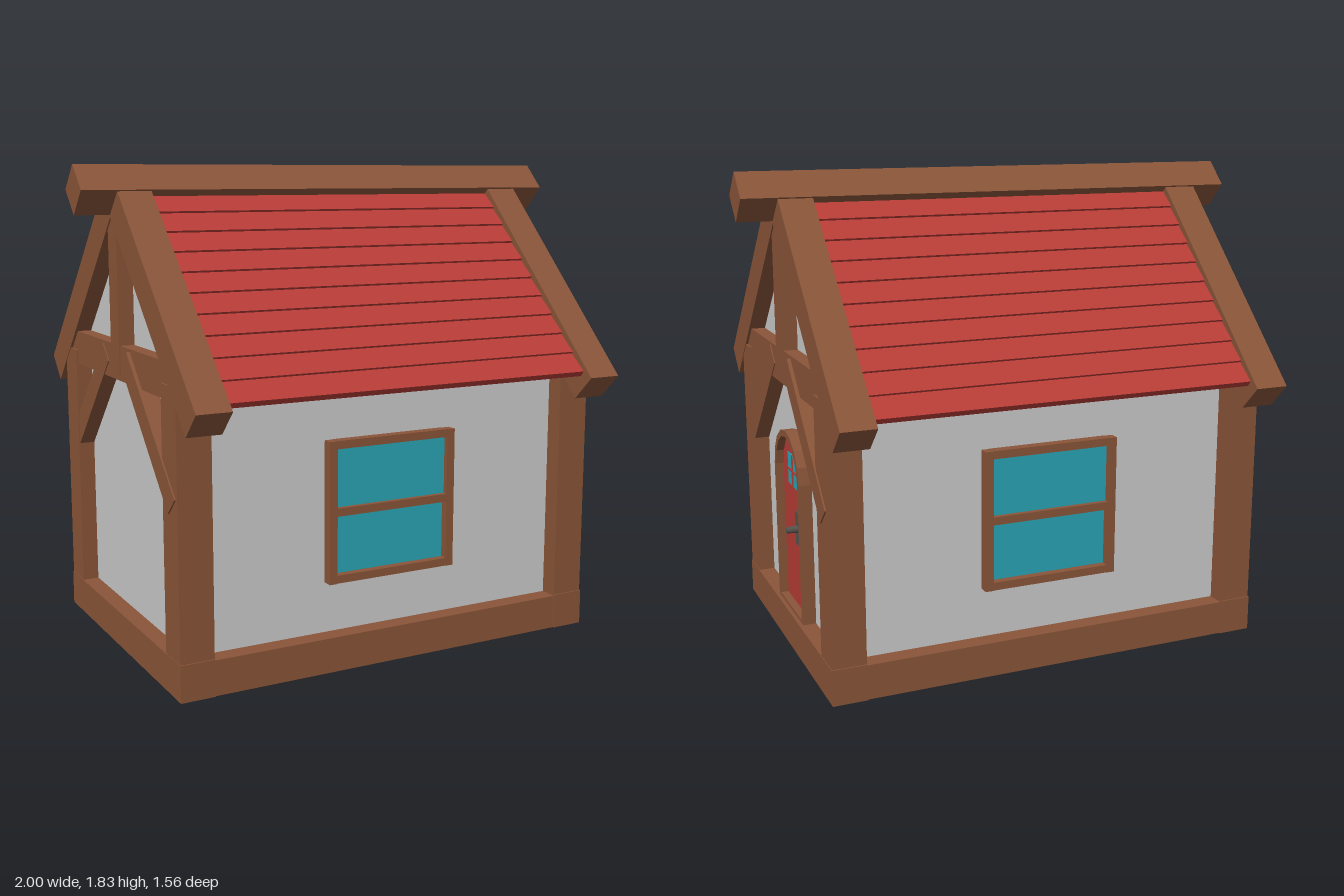
import * as THREE from 'three';

const mat = (color) => new THREE.MeshStandardMaterial({ color });
const WOOD = mat(0x8a5539), RED = mat(0xb83c36), WALL = mat(0xcccccc), GLASS = mat(0x2aa5b5), IRON = mat(0x55534c);

function add(parent, name, geometry, material, x = 0, y = 0, z = 0, rx = 0) {
  const m = new THREE.Mesh(geometry, material);
  m.name = name;
  m.position.set(x, y, z);
  m.rotation.x = rx;
  parent.add(m);
  return m;
}

// Box given by its minimum and maximum on each axis
function box(parent, name, material, [x0, x1], [y0, y1], [z0, z1]) {
  return add(parent, name, new THREE.BoxGeometry(x1 - x0, y1 - y0, z1 - z0), material,
    (x0 + x1) / 2, (y0 + y1) / 2, (z0 + z1) / 2);
}

// Square timber between two (z, y) points in a plane of constant x
function timber(parent, name, x, width, depth, [z0, y0], [z1, y1]) {
  const dz = z1 - z0, dy = y1 - y0;
  return add(parent, name, new THREE.BoxGeometry(depth, width, Math.hypot(dz, dy)), WOOD,
    x, (y0 + y1) / 2, (z0 + z1) / 2, -Math.atan2(dy, dz));
}

const extrude = (shape, depth) =>
  new THREE.ExtrudeGeometry(shape, { depth, bevelEnabled: false, curveSegments: 5 });

// Round-headed outline with its foot at y0
function archPoints(half, y0, spring, rise) {
  const pts = [new THREE.Vector2(-half, y0), new THREE.Vector2(half, y0)];
  for (let i = 0; i <= 8; i++) {
    const a = (i / 8) * Math.PI;
    pts.push(new THREE.Vector2(half * Math.cos(a), spring + rise * Math.sin(a)));
  }
  return pts;
}

// Timber framing of one end of the house, on the +x side
function buildGable() {
  const g = new THREE.Group();
  g.name = 'gableFrame';
  box(g, 'sideSill', WOOD, [0.735, 0.865], [0.004, 0.14], [-0.605, 0.605]);
  box(g, 'tieBeam', WOOD, [0.74, 0.855], [1.045, 1.176], [-0.6, 0.6]);
  box(g, 'kingPost', WOOD, [0.765, 0.86], [1.065, 1.7], [-0.045, 0.045]);
  for (const s of [-1, 1]) {
    const z = [0.467, 0.6].map((v) => v * s).sort((a, b) => a - b);
    box(g, 'cornerPost', WOOD, [0.735, 0.863], [0.14, 1.1], z);
    timber(g, 'rafter', 0.8, 0.128, 0.13, [s * 0.735, 0.995], [0, 1.73]);
    timber(g, 'brace', s < 0 ? 0.825 : 0.815, 0.087, 0.087, [s * 0.115, 1.135], [s * 0.557, 0.688]);
  }
  return g;
}

// Sash window facing +z
function buildWindow() {
  const g = new THREE.Group();
  g.name = 'window';
  const z = [0.5, 0.57];
  for (const s of [-1, 1]) box(g, 'windowJamb', WOOD, [s * 0.25 - 0.016, s * 0.25 + 0.016], [0.325, 0.855], z);
  for (const y of [0.341, 0.592, 0.841]) box(g, 'windowRail', WOOD, [-0.235, 0.235], [y - 0.015, y + 0.015], z);
  box(g, 'lowerPane', GLASS, [-0.235, 0.235], [0.355, 0.578], [0.5, 0.54]);
  box(g, 'upperPane', GLASS, [-0.235, 0.235], [0.606, 0.827], [0.5, 0.55]);
  return g;
}

// Round-headed door, built facing +z and turned to +x
function buildDoor() {
  const g = new THREE.Group();
  g.name = 'door';
  const frame = new THREE.Shape(archPoints(0.178, 0.14, 0.69, 0.17));
  frame.holes.push(new THREE.Path(archPoints(0.155, 0.152, 0.69, 0.145)));
  add(g, 'doorFrame', extrude(frame, 0.07), WOOD, 0, 0, 0.78);
  add(g, 'doorLeaf', extrude(new THREE.Shape(archPoints(0.157, 0.15, 0.69, 0.147)), 0.04), RED, 0, 0, 0.78);
  // Four small panes between thin bars
  for (const x of [-0.038, 0.038]) for (const y of [0.663, 0.729])
    box(g, 'doorPane', GLASS, [x - 0.033, x + 0.033], [y - 0.029, y + 0.029], [0.8, 0.824]);
  box(g, 'paneBar', RED, [-0.005, 0.005], [0.63, 0.76], [0.8, 0.828]);
  box(g, 'paneBar', RED, [-0.072, 0.072], [0.692, 0.7], [0.8, 0.828]);
  // Handle plate with pull
  box(g, 'handlePlate', IRON, [0.033, 0.09], [0.42, 0.55], [0.8, 0.83]);
  add(g, 'doorKnob', new THREE.CylinderGeometry(0.012, 0.016, 0.045, 8), IRON, 0.062, 0.485, 0.85, Math.PI / 2);
  g.rotation.y = Math.PI / 2;
  return g;
}

// Lapped boards on the +z slope; each lies flatter than the slope so its foot stands proud
function buildSlope() {
  const g = new THREE.Group();
  g.name = 'roofSlope';
  const rows = 10, step = 0.067, tilt = 0.69, length = 0.115, thick = 0.026;
  for (let i = 0; i < rows; i++) {
    const z = 0.735 - i * step, y = 1.06 + i * step;
    const geo = new THREE.BoxGeometry(1.47, thick, length);
    geo.translate(0, -thick / 2, -length / 2);
    add(g, 'roofBoard', geo, RED, 0, y, z, tilt);
  }
  return g;
}

export function createModel() {
  const house = new THREE.Group();
  house.name = 'cottage';

  // Walls: one pentagon section run along x
  const section = new THREE.Shape([[-0.53, 0.02], [0.53, 0.02], [0.53, 1.13], [0, 1.66], [-0.53, 1.13]]
    .map(([x, y]) => new THREE.Vector2(x, y)));
  const walls = extrude(section, 1.6);
  walls.translate(0, 0, -0.8);
  walls.rotateY(Math.PI / 2);
  add(house, 'walls', walls, WALL);
  box(house, 'floor', WALL, [-0.83, 0.83], [0, 0.03], [-0.575, 0.575]);

  // Both ends and both long sides
  for (const turn of [0, Math.PI]) {
    for (const part of [buildGable(), buildWindow(), buildSlope()]) {
      part.rotation.y = turn;
      house.add(part);
    }
    const s = turn ? -1 : 1;
    box(house, 'longSill', WOOD, [-0.735, 0.735], [0.004, 0.135], s > 0 ? [0.47, 0.6] : [-0.6, -0.47]);
  }

  // Ridge beam set on its edge
  add(house, 'ridgeBeam', new THREE.BoxGeometry(2, 0.128, 0.128), WOOD, 0, 1.74, 0, Math.PI / 4);
  house.add(buildDoor());
  return house;
}
